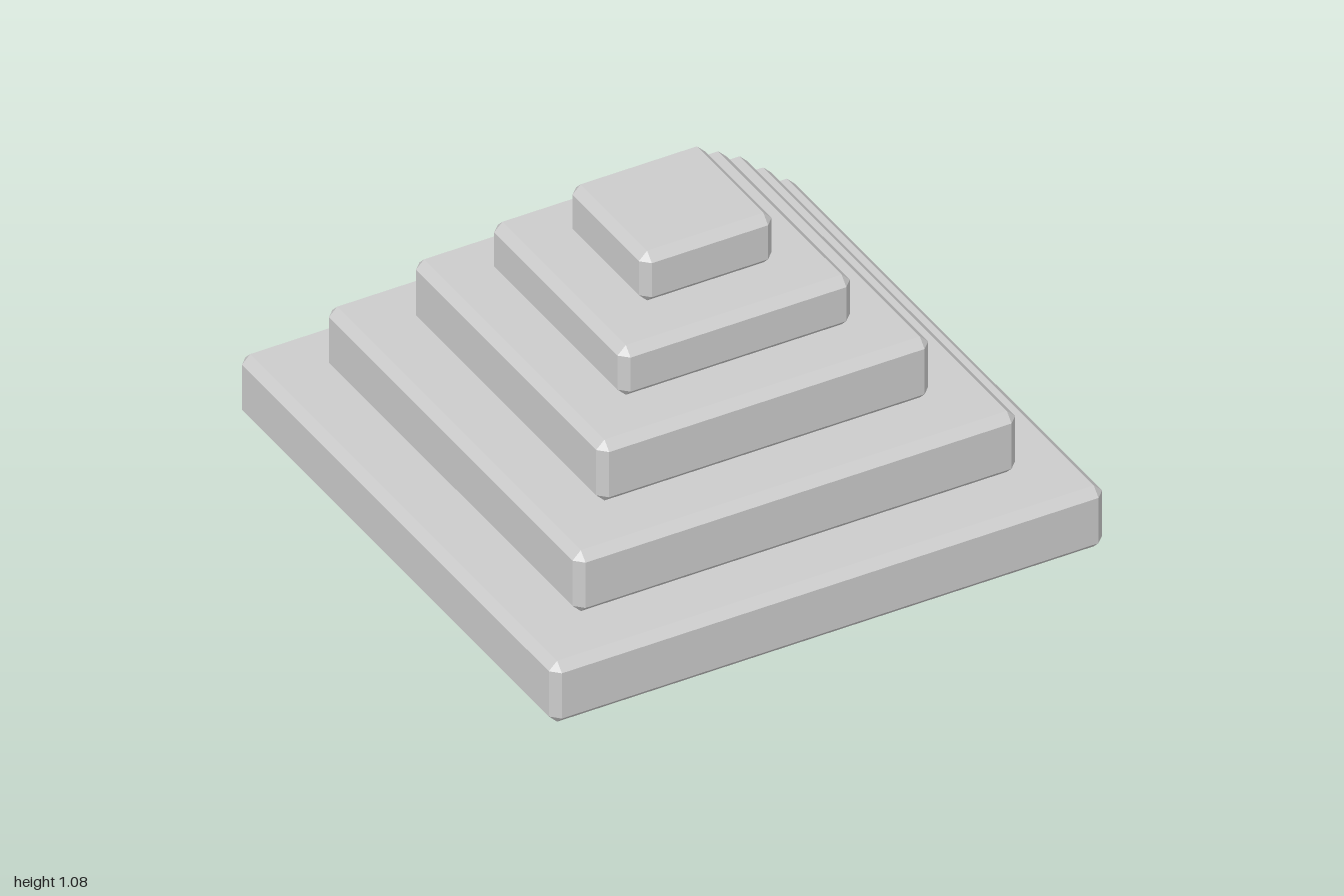
import * as THREE from 'three';
import { ConvexGeometry } from 'three/addons/geometries/ConvexGeometry.js';

// Box with every edge and corner cut flat by c
function chamferedBox(w, h, d, c) {
  const half = [w / 2, h / 2, d / 2];
  const points = [];
  for (const sx of [-1, 1]) for (const sy of [-1, 1]) for (const sz of [-1, 1]) {
    for (let axis = 0; axis < 3; axis++) {
      // only one axis reaches the full extent, the other two are inset
      const [x, y, z] = half.map((v, i) => (i === axis ? v : v - c));
      points.push(new THREE.Vector3(sx * x, sy * y, sz * z));
    }
  }
  return new ConvexGeometry(points);
}

export function createModel() {
  const group = new THREE.Group();
  group.name = 'steppedPyramid';
  const material = new THREE.MeshStandardMaterial({ color: 0xcccccc, flatShading: true });

  // Square tiers stacked from the ground up: [name, width, height]
  const tiers = [
    ['baseTier', 2, 0.233],
    ['secondTier', 1.6, 0.233],
    ['thirdTier', 1.2, 0.233],
    ['fourthTier', 0.84, 0.19],
    ['topTier', 0.48, 0.19],
  ];
  let y = 0;
  for (const [name, width, height] of tiers) {
    const tier = new THREE.Mesh(chamferedBox(width, height, width, 0.03), material);
    tier.name = name;
    tier.position.y = y + height / 2;
    group.add(tier);
    y += height;
  }
  return group;
}
